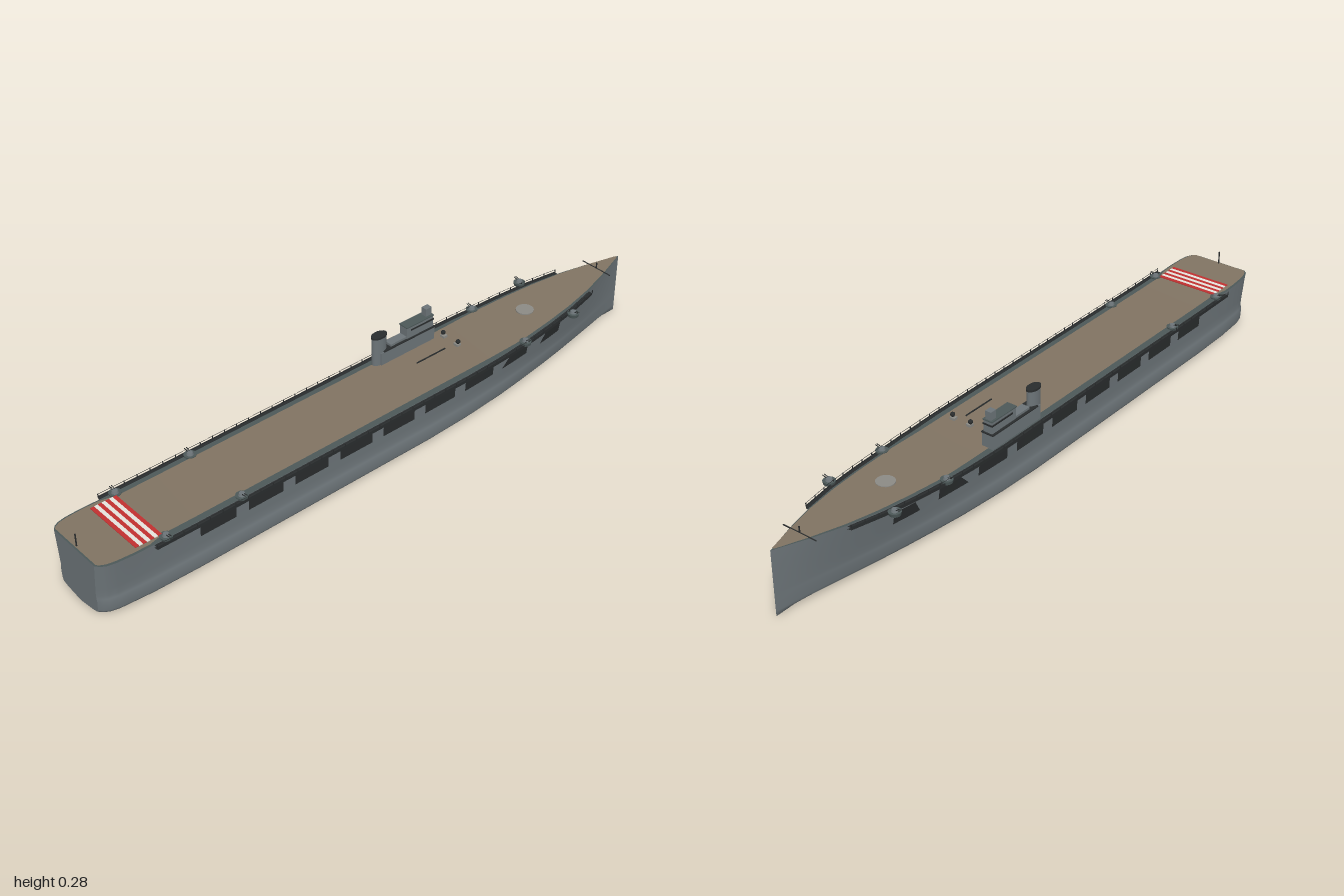
import * as THREE from 'three';

const mat = (name, color, side = THREE.FrontSide) => {
  const m = new THREE.MeshStandardMaterial({ color, side });
  m.name = name;
  return m;
};

// linear lookup in a table of [position, value]
function lookup(table, x) {
  for (let i = 1; i < table.length; i++) {
    const [x0, v0] = table[i - 1], [x1, v1] = table[i];
    if (x <= x1) return v0 + (v1 - v0) * Math.max(0, (x - x0) / (x1 - x0));
  }
  return table[table.length - 1][1];
}

const TOP = [[-1, 0.09], [-0.99, 0.102], [-0.975, 0.11], [-0.95, 0.115], [-0.9, 0.118], [0.25, 0.118],
  [0.4, 0.113], [0.5, 0.106], [0.6, 0.097], [0.7, 0.084], [0.8, 0.064], [0.9, 0.035], [1, 0]];
const BOTTOM = [[-1, 0.078], [-0.99, 0.09], [-0.975, 0.1], [-0.95, 0.107], [-0.85, 0.116], [-0.7, 0.12], [0.1, 0.12],
  [0.25, 0.114], [0.4, 0.101], [0.5, 0.088], [0.6, 0.073], [0.7, 0.056], [0.8, 0.037], [0.9, 0.018], [1, 0]];
const SHEER = [[-1, 0.177], [-0.85, 0.172], [-0.7, 0.17], [0.35, 0.17], [0.5, 0.173], [0.75, 0.185], [1, 0.198]];
// half section: [height, share of half width]
const SECTION = [[0, 0], [0.004, 0.35], [0.009, 0.75], [0.014, 0.96], [0.022, 1], [0.05, 1], [0.07, 0.95], [0.115, 0.965], [0.2, 1]];

const deckY = x => lookup(SHEER, x);
const topZ = x => lookup(TOP, x);
function hullZ(x, y) {
  const t = Math.min(1, y / deckY(x));
  return (lookup(BOTTOM, x) * (1 - t) + topZ(x) * t) * lookup(SECTION, y);
}

// grid surface from f(u, v) -> [x, y, z]
function grid(nu, nv, f) {
  const pos = [], idx = [];
  for (let i = 0; i <= nu; i++) for (let j = 0; j <= nv; j++) pos.push(...f(i / nu, j / nv));
  for (let i = 0; i < nu; i++) for (let j = 0; j < nv; j++) {
    const a = i * (nv + 1) + j, c = a + nv + 1;
    idx.push(a, a + 1, c, a + 1, c + 1, c);
  }
  const g = new THREE.BufferGeometry();
  g.setAttribute('position', new THREE.Float32BufferAttribute(pos, 3));
  g.setIndex(idx);
  g.computeVertexNormals();
  return g;
}

export function createModel() {
  const root = new THREE.Group();
  root.name = 'carrierShip';
  const hullGrey = mat('hull grey', 0x6c7478, THREE.DoubleSide);
  const galleryGrey = mat('gallery grey', 0x4c5858, THREE.DoubleSide);
  const dark = mat('dark fittings', 0x292c2d, THREE.DoubleSide);
  const wood = mat('wood deck', 0x807362, THREE.DoubleSide);
  const red = mat('red stripe', 0xc03030);
  const white = mat('white stripe', 0xe4e2dc);
  const pale = mat('pale grey', 0x8b8a85);

  const add = (name, geo, m, x = 0, y = 0, z = 0, parent = root) => {
    const mesh = new THREE.Mesh(geo, m);
    mesh.name = name;
    mesh.position.set(x, y, z);
    parent.add(mesh);
    return mesh;
  };
  const box = (name, m, x0, x1, y0, y1, z0, z1, parent) =>
    add(name, new THREE.BoxGeometry(x1 - x0, y1 - y0, z1 - z0), m, (x0 + x1) / 2, (y0 + y1) / 2, (z0 + z1) / 2, parent);

  // hull stations, packed closely around the stern corners
  const xs = [-1, -0.995, -0.99, -0.982, -0.975, -0.96, -0.95, -0.925];
  for (let i = 0; i <= 38; i++) xs.push(-0.9 + i * 0.05);
  const n = xs.length - 1;
  const ring = [];
  for (let j = 0; j <= 32; j++) {
    const s = j / 16 - 1, k = Math.abs(s) * 8, i = Math.min(7, Math.floor(k));
    ring.push([SECTION[i][0] + (SECTION[i + 1][0] - SECTION[i][0]) * (k - i), -Math.sign(s)]);
  }
  const ringPoint = (x, j) => {
    const y = ring[j][0] > 0.115 ? 0.115 + (ring[j][0] - 0.115) / 0.085 * (deckY(x) - 0.115) : ring[j][0];
    return [x, y, ring[j][1] * hullZ(x, y)];
  };
  add('hull', grid(n, 32, (u, v) => ringPoint(xs[Math.round(u * n)], Math.round(v * 32))), hullGrey);
  // flat stern plate between the two halves of the last station
  add('transom', grid(1, 16, (u, v) => {
    const j = Math.round(v * 16);
    return ringPoint(-1, u < 0.5 ? 32 - j : j);
  }), hullGrey);

  // deck edge and planked flight deck
  const plankZ = x => Math.min(0.1, topZ(x) * (x > 0.3 ? 0.92 : 0.94));
  const plankXs = xs.map(x => Math.max(-0.996, Math.min(0.99, x)));
  add('deckEdge', grid(n, 1, (u, v) => {
    const x = xs[Math.round(u * n)];
    return [x, deckY(x), (v * 2 - 1) * topZ(x)];
  }), galleryGrey);
  add('flightDeck', grid(n, 1, (u, v) => {
    const x = plankXs[Math.round(u * n)];
    const w = x < -0.84 ? topZ(x) * 0.95 : plankZ(x);
    return [x, deckY(x) + 0.002, (v * 2 - 1) * w];
  }), wood);

  // landing stripes across the aft deck
  for (let i = 0; i < 7; i++) {
    const x = -0.879 + i * 0.0115;
    box('landingStripe', i % 2 ? white : red, x - 0.0058, x + 0.0058, deckY(x) + 0.001, deckY(x) + 0.004, -0.1, 0.1);
  }
  add('deckDisc', new THREE.CylinderGeometry(0.027, 0.027, 0.004, 24), pale, 0.59, deckY(0.59) + 0.003, 0);

  // hangar openings: [aft, fore, shift of the aft upper corner]
  const openings = [];
  for (let i = 0; i < 7; i++) openings.push([-0.7 + i * 0.156, -0.585 + i * 0.156, 0]);
  openings.push([0.39, 0.5, 0.035], [0.565, 0.655, 0.02]);

  for (const s of [1, -1]) {
    for (const [a, b, shift] of openings) {
      add('hangarOpening', grid(6, 3, (u, v) => {
        const y = 0.117 + v * 0.037, x0 = a + shift * v;
        const x = x0 + (b - x0) * u;
        return [x, y, s * (hullZ(x, y) + 0.0025)];
      }), dark);
    }
    // side catwalk with a hanging lip and a low rail
    const run = (name, x0, x1, p, q, m) => add(name, grid(48, 1, (u, v) => {
      const x = x0 + (x1 - x0) * u, [dz, dy] = v < 0.5 ? p : q;
      return [x, deckY(x) + dy, s * (topZ(x) + dz)];
    }), m);
    run('catwalkFloor', -0.84, 0.8, [-0.002, -0.003], [0.013, -0.003], dark);
    run('catwalkLip', -0.84, 0.8, [0.013, -0.009], [0.013, 0.001], dark);
    run('catwalkUnderside', -0.84, 0.8, [-0.002, -0.012], [0.013, -0.009], dark);
    run('catwalkRail', -0.84, 0.8, [0.013, 0.0065], [0.013, 0.008], dark);
    for (let x = -0.84; x < 0.81; x += 0.041) {
      box('railPost', dark, x - 0.001, x + 0.001, deckY(x) - 0.003, deckY(x) + 0.008,
        s * (topZ(x) + 0.013) - 0.001, s * (topZ(x) + 0.013) + 0.001);
    }

    // gun tubs on sponsons
    for (const x of [-0.8, -0.56, 0.48, 0.68]) {
      const gun = new THREE.Group();
      gun.name = 'gunMount';
      gun.position.set(x, deckY(x), s * 0.112);
      root.add(gun);
      add('gunTub', new THREE.CylinderGeometry(0.018, 0.016, 0.01, 14), galleryGrey, 0, -0.001, 0, gun);
      add('gunHouse', new THREE.CylinderGeometry(0.008, 0.011, 0.008, 10), hullGrey, 0, 0.007, 0, gun);
      for (const d of [-0.003, 0.003]) {
        const barrel = add('gunBarrel', new THREE.CylinderGeometry(0.0012, 0.0012, 0.022, 6), dark, d, 0.011, s * 0.009, gun);
        barrel.rotation.x = s * 1.35;
      }
    }

    // lamp globes beside the island, each over a small box
    add('lampGlobe', new THREE.SphereGeometry(0.007, 12, 8), dark, 0.285, 0.222, s * 0.031);
    box('lampBox', pale, 0.278, 0.292, 0.208, 0.215, s * 0.028 - 0.008, s * 0.028 + 0.008);
  }

  // island superstructure on the -z side
  const island = new THREE.Group();
  island.name = 'island';
  root.add(island);
  box('islandBase', hullGrey, 0.09, 0.295, 0.168, 0.213, -0.115, -0.078, island);
  box('islandWalkway', dark, 0.1, 0.297, 0.213, 0.216, -0.117, -0.076, island);
  box('islandUpper', hullGrey, 0.13, 0.21, 0.213, 0.223, -0.109, -0.083, island);
  box('bridge', hullGrey, 0.19, 0.292, 0.213, 0.252, -0.11, -0.081, island);
  box('bridgeWindows', dark, 0.205, 0.2935, 0.238, 0.243, -0.1115, -0.0795, island);
  box('bridgeRoof', galleryGrey, 0.188, 0.294, 0.252, 0.255, -0.112, -0.079, island);
  box('director', hullGrey, 0.268, 0.29, 0.255, 0.28, -0.105, -0.086, island);
  const funnel = add('funnel', new THREE.CylinderGeometry(0.025, 0.025, 0.098, 18), hullGrey, 0.096, 0.217, -0.096, island);
  funnel.scale.z = 0.6;
  const cap = add('funnelCap', new THREE.CylinderGeometry(0.027, 0.027, 0.006, 18), dark, 0.096, 0.264, -0.096, island);
  cap.scale.z = 0.6;

  // slender poles and booms
  box('deckBoom', dark, 0.14, 0.25, 0.205, 0.208, 0.0135, 0.0165);
  box('sternStaff', dark, -0.993, -0.99, 0.175, 0.218, -0.0015, 0.0015);
  box('bowStaff', dark, 0.899, 0.902, 0.19, 0.214, -0.0015, 0.0015);
  box('bowBoom', dark, 0.899, 0.902, 0.194, 0.196, -0.056, 0.056);
  return root;
}
